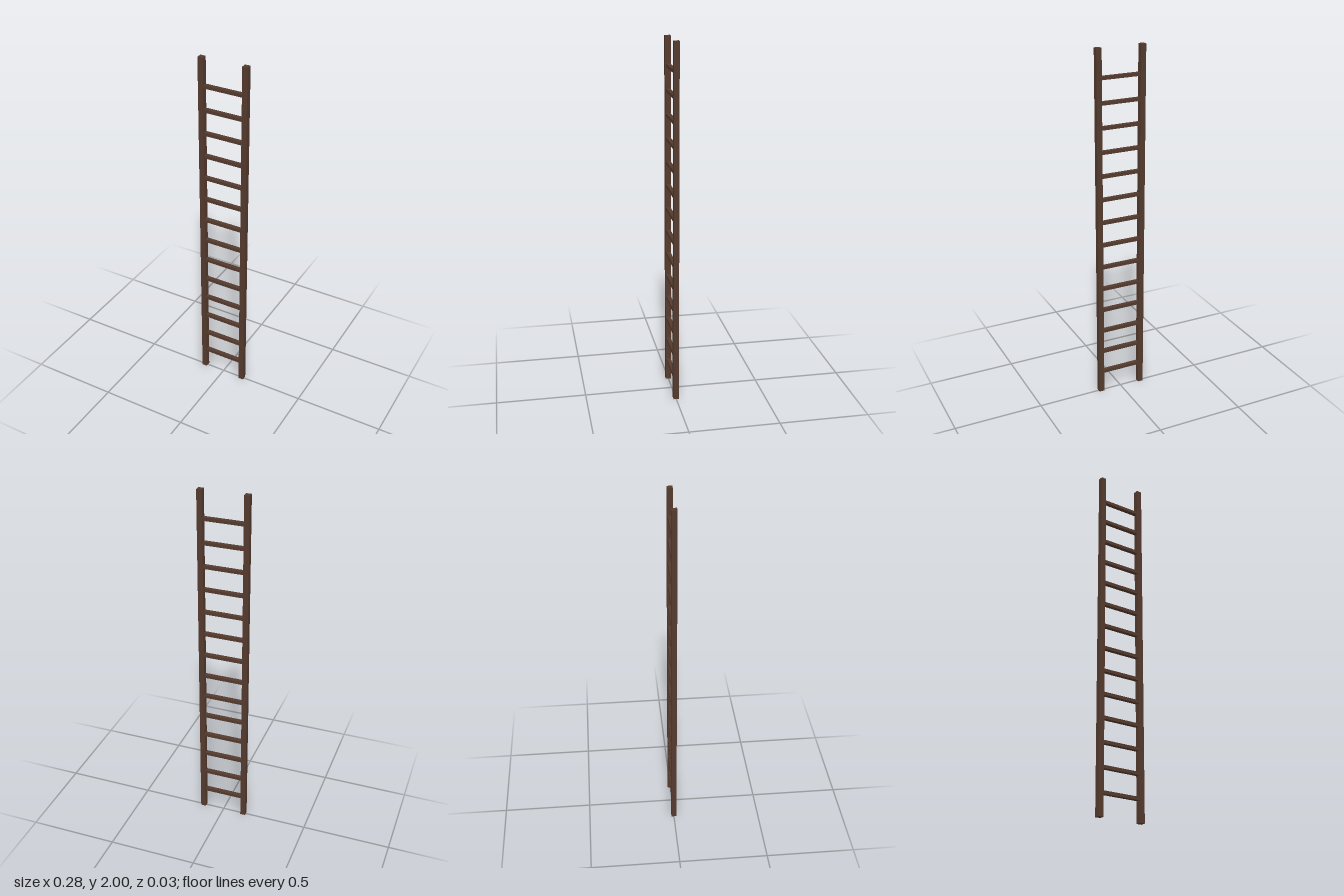
import * as THREE from 'three';

export function createModel() {
  const group = new THREE.Group();
  group.name = 'ladder';

  const wood = new THREE.MeshStandardMaterial({ color: 0x543a2d });
  wood.name = 'darkWood';

  function addBox(name, size, position) {
    const mesh = new THREE.Mesh(new THREE.BoxGeometry(...size), wood);
    mesh.name = name;
    mesh.position.set(...position);
    group.add(mesh);
  }

  // Two upright square rails
  addBox('leftRail', [0.03, 2, 0.03], [0.125, 1, 0]);
  addBox('rightRail', [0.03, 2, 0.03], [-0.125, 1, 0]);

  // Evenly spaced rungs, let slightly into the rails
  const rungCount = 14, firstRung = 0.126, spacing = 0.1322;
  for (let i = 0; i < rungCount; i++) {
    addBox(`rung${i + 1}`, [0.23, 0.018, 0.023], [0, firstRung + i * spacing, 0]);
  }

  return group;
}
